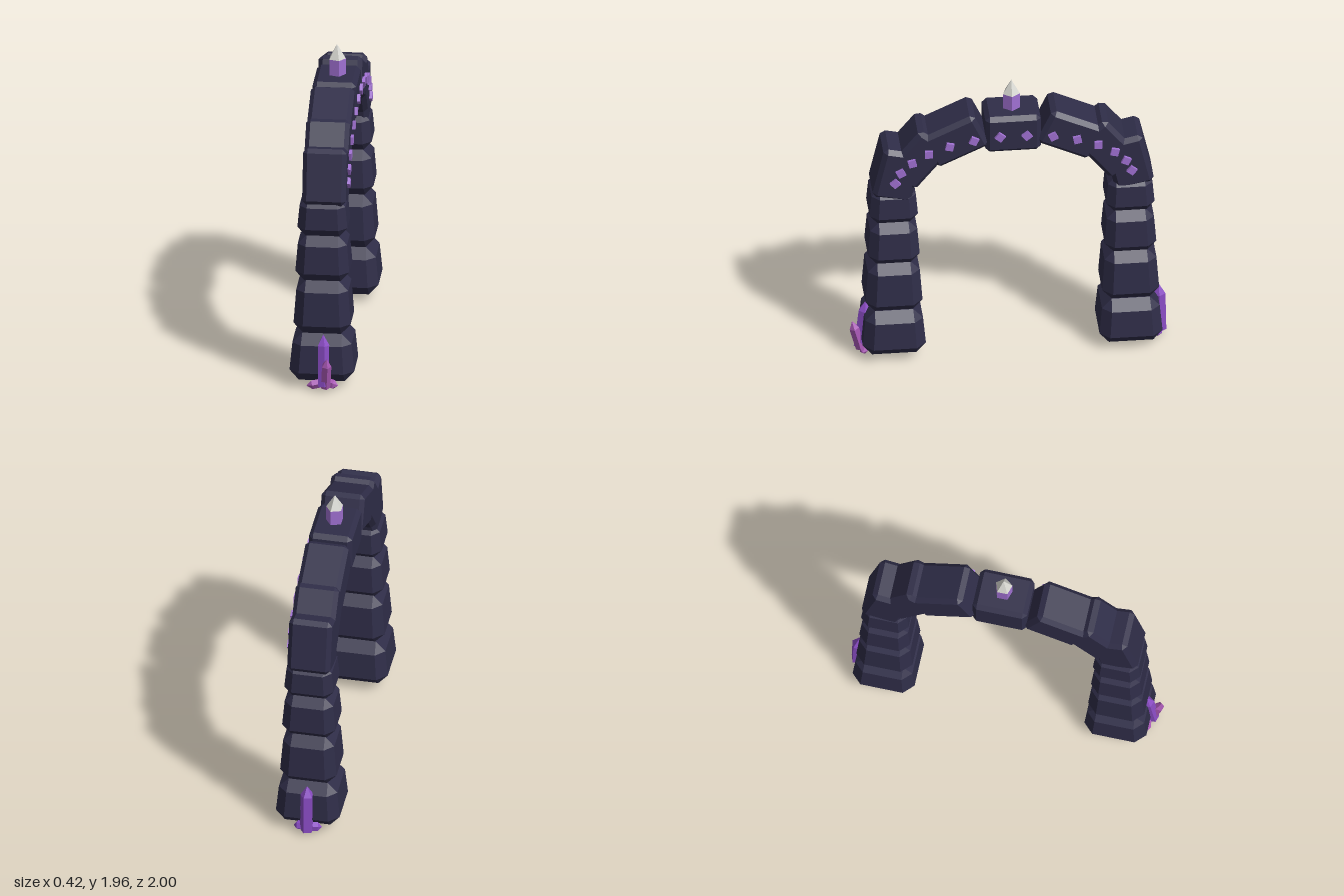
import * as THREE from 'three';
import { ConvexGeometry } from 'three/addons/geometries/ConvexGeometry.js';

const flat = (name, color) => {
  const m = new THREE.MeshStandardMaterial({ color, flatShading: true });
  m.name = name;
  return m;
};

// Box with chamfered edges; the top is narrowed by the taper factor
function chamferedBox(w, h, d, c, taper = 1) {
  const pts = [];
  for (const sx of [-1, 1]) for (const sy of [-1, 1]) for (const sz of [-1, 1]) {
    for (let full = 0; full < 3; full++) {
      const p = new THREE.Vector3(
        sx * (w / 2 - (full === 0 ? 0 : c)),
        sy * (h / 2 - (full === 1 ? 0 : c)),
        sz * (d / 2 - (full === 2 ? 0 : c)));
      const s = 1 + (taper - 1) * (p.y / h + 0.5);
      p.x *= s;
      p.z *= s;
      pts.push(p);
    }
  }
  return new ConvexGeometry(pts);
}

export function createModel() {
  const stone = flat('dark stone', 0x2f2d48);
  const violet = flat('rune violet', 0xa070d2);
  const purple = flat('crystal purple', 0x8a4cc4);
  const pink = flat('crystal pink', 0xa858b4);
  const pale = flat('pale crystal tip', 0xd6d6d0);
  const model = new THREE.Group();
  model.name = 'stoneArch';
  const midZ = -0.018;

  const add = (parent, name, geo, mat, x = 0, y = 0, z = 0) => {
    const m = new THREE.Mesh(geo, mat);
    m.name = name;
    m.position.set(x, y, z);
    parent.add(m);
    return m;
  };

  // Five-sided crystal running from base to tip
  const crystal = (name, base, tip, r, bodyShare, bodyMat, tipMat = bodyMat) => {
    const a = new THREE.Vector3(...base), dir = new THREE.Vector3(...tip).sub(a);
    const len = dir.length(), body = len * bodyShare;
    const g = new THREE.Group();
    g.name = name;
    g.position.copy(a);
    g.quaternion.setFromUnitVectors(new THREE.Vector3(0, 1, 0), dir.normalize());
    const shaft = add(g, 'crystalShaft', new THREE.CylinderGeometry(r, r, body, 5), bodyMat, 0, body / 2);
    const point = add(g, 'crystalPoint', new THREE.ConeGeometry(r, len - body, 5), tipMat, 0, (len + body) / 2);
    shaft.rotation.y = point.rotation.y = Math.PI / 2;
    model.add(g);
  };

  // Legs: four stacked stones each [bottom, top, width x, width z, chamfer]
  const stones = [
    [0.04, 0.35, 0.42, 0.41, 0.065],
    [0.35, 0.70, 0.37, 0.37, 0.065],
    [0.70, 1.00, 0.35, 0.335, 0.06],
    [1.00, 1.25, 0.325, 0.315, 0.055],
  ];
  for (const [side, x, z] of [['front', -0.008, 0.733], ['rear', 0.006, -0.759]]) {
    for (const [y0, y1, w, d, c] of stones) {
      add(model, side + 'LegStone', chamferedBox(w, y1 - y0, d, c, 0.86), stone, x, (y0 + y1) / 2, z);
    }
  }

  // Arch: keystone and three mirrored stones per side [offset z, y, tilt, length]
  add(model, 'keystone', chamferedBox(0.276, 0.26, 0.35, 0.028), stone, 0.003, 1.63, midZ);
  const archStones = [[0.365, 1.594, 25, 0.37], [0.602, 1.468, 51, 0.37], [0.73, 1.362, 77, 0.36]];
  for (const [dz, y, tilt, len] of archStones) {
    for (const s of [-1, 1]) {
      const m = add(model, 'archStone', chamferedBox(0.276, 0.252, len, 0.028), stone, 0.003, y, midZ + s * dz);
      m.rotation.x = s * THREE.MathUtils.degToRad(tilt);
    }
  }

  // Runes along the left face of the arch
  for (let i = 0; i < 14; i++) {
    const a = THREE.MathUtils.degToRad(-84.5 + 13 * i);
    const m = add(model, 'rune', new THREE.BoxGeometry(0.025, 0.05, 0.05), violet,
      0.147, 1.29 + 0.34 * Math.cos(a), midZ + 0.75 * Math.sin(a));
    m.rotation.x = a + Math.PI / 4;
  }

  // Crystal on the keystone
  crystal('topCrystal', [0.005, 1.7, midZ], [0.005, 1.96, midZ], 0.056, 0.635, violet, pale);

  // Crystal cluster at the front foot
  crystal('frontTallCrystal', [0.008, 0.03, 0.94], [0.004, 0.36, 0.9], 0.04, 0.79, purple);
  crystal('frontSmallCrystal', [0.02, 0.02, 0.935], [0.034, 0.23, 0.99], 0.032, 0.75, pink);
  crystal('frontLowCrystal', [0.01, 0.04, 0.9], [-0.1, 0.02, 0.92], 0.03, 0.7, pink);
  crystal('frontLowCrystal', [0.01, 0.04, 0.9], [0.1, 0.03, 0.93], 0.03, 0.7, pink);
  crystal('frontLowCrystal', [0.0, 0.04, 0.94], [-0.03, 0.02, 0.83], 0.025, 0.7, purple);

  // Crystal cluster at the rear foot
  crystal('rearTallCrystal', [0, 0.02, -0.955], [0, 0.36, -0.948], 0.043, 0.79, purple);
  crystal('rearLowCrystal', [0, 0.04, -0.94], [-0.09, 0.03, -0.92], 0.03, 0.7, purple);
  crystal('rearLowCrystal', [0, 0.04, -0.94], [0.09, 0.03, -0.93], 0.03, 0.7, purple);
  crystal('rearLowCrystal', [0, 0.035, -0.95], [0.01, 0.02, -0.86], 0.03, 0.7, pink);

  return model;
}
